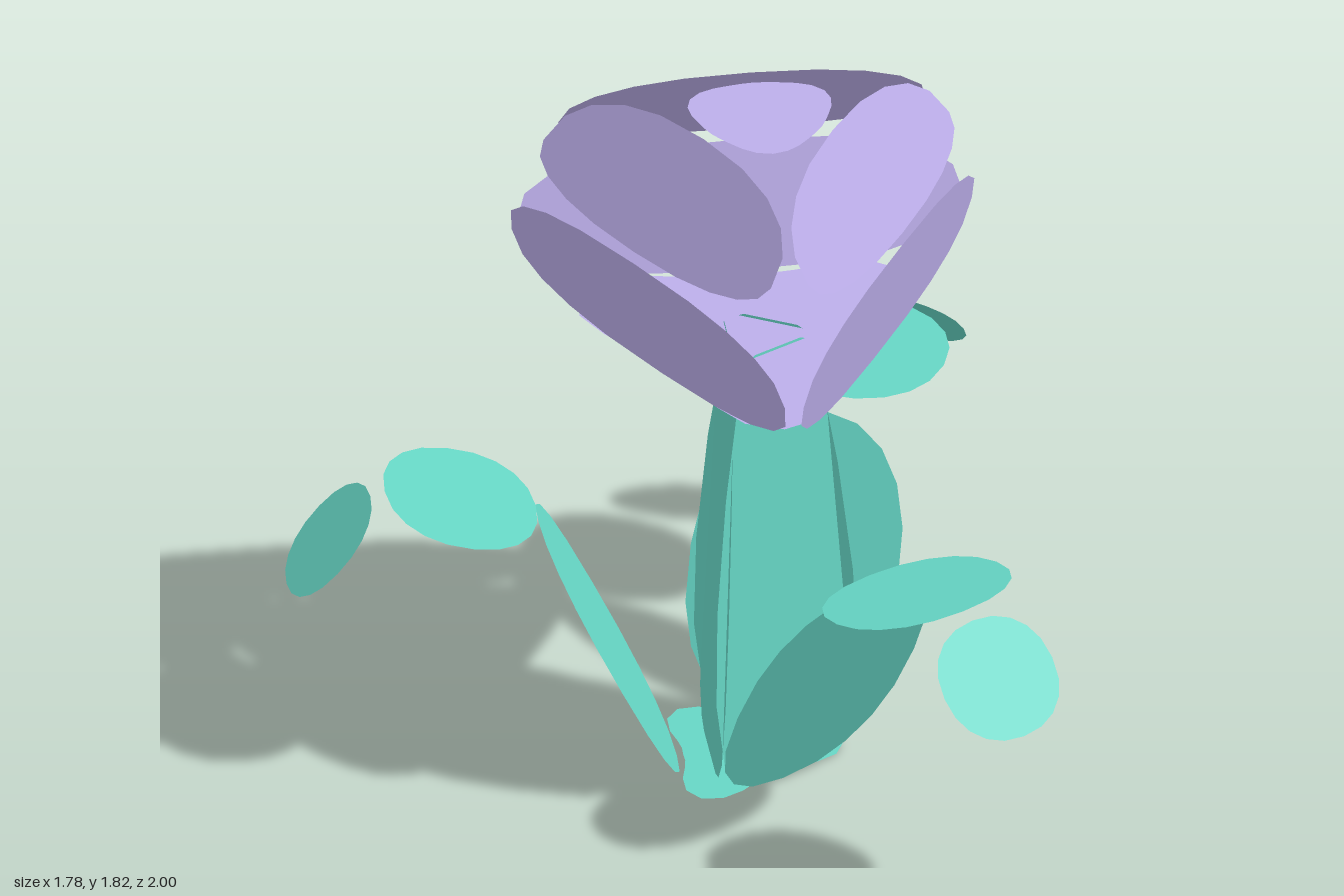
import * as THREE from 'three';

const V3 = (x, y, z) => new THREE.Vector3(x, y, z);
const teal = new THREE.MeshStandardMaterial({ color: 0x66d6c5, side: THREE.DoubleSide });
const lilac = new THREE.MeshStandardMaterial({ color: 0xbcaeea, side: THREE.DoubleSide });

// Superellipse outline in the unit square; mid is the height of its widest line
function oval(n = 2.2, mid = 0, steps = 20) {
  const pts = [];
  for (let i = 0; i < steps; i++) {
    const a = (i / steps) * Math.PI * 2;
    const c = Math.cos(a), s = Math.sin(a);
    const u = Math.sign(c) * Math.abs(c) ** (2 / n);
    const v = Math.sign(s) * Math.abs(s) ** (2 / n);
    pts.push(new THREE.Vector2(u, mid + v * (s > 0 ? 1 - mid : 1 + mid)));
  }
  return pts;
}

// Triangle with rounded corners, pointing along +v, given as radius by angle
function roundTriangle(corner, side, steps = 30) {
  const pts = [];
  for (let i = 0; i < steps; i++) {
    const a = (i / steps) * Math.PI * 2;
    const k = ((1 + Math.cos(3 * a)) / 2) ** 1.7;
    const r = side + (corner - side) * k;
    pts.push(new THREE.Vector2(-Math.sin(a) * r, Math.cos(a) * r));
  }
  return pts;
}

// Flat sheet: an outline laid into the plane spanned by u and v at a centre
function sheet(name, outline, centre, u, v, material) {
  const geo = new THREE.ShapeGeometry(new THREE.Shape(outline));
  const w = u.clone().cross(v).normalize();
  geo.applyMatrix4(new THREE.Matrix4().makeBasis(u, v, w).setPosition(centre));
  const mesh = new THREE.Mesh(geo, material);
  mesh.name = name;
  return mesh;
}

// Sheet facing away from a vertical axis, running from (r0, y0) to (r1, y1)
function radial(name, outline, axisX, angle, r0, y0, r1, y1, halfWidth, material) {
  const out = V3(Math.cos(angle), 0, Math.sin(angle));
  const across = V3(-Math.sin(angle), 0, Math.cos(angle)).multiplyScalar(halfWidth);
  const centre = out.clone().multiplyScalar((r0 + r1) / 2).add(V3(axisX, (y0 + y1) / 2, 0));
  const along = out.clone().multiplyScalar((r1 - r0) / 2).add(V3(0, (y1 - y0) / 2, 0));
  return sheet(name, outline, centre, across, along, material);
}

export function createModel() {
  const model = new THREE.Group();
  const stem = new THREE.Group();
  stem.name = 'stem';
  const leaves = new THREE.Group();
  leaves.name = 'leaves';
  const flower = new THREE.Group();
  flower.name = 'flower';
  model.add(stem, leaves, flower);

  // Tapered stem panel: [height, half width]
  const half = [[0, 0.09], [0.02, 0.15], [0.08, 0.195], [0.25, 0.215], [0.5, 0.205],
    [0.8, 0.17], [1.0, 0.135], [1.12, 0.115], [1.155, 0.1], [1.17, 0.07]];
  const stemOutline = [
    ...half.map(([y, w]) => new THREE.Vector2(w, (y / 1.17) * 2 - 1)),
    ...half.map(([y, w]) => new THREE.Vector2(-w, (y / 1.17) * 2 - 1)).reverse(),
  ];

  // Three stem panels and three drooping leaves of three segments each
  for (let i = 0; i < 3; i++) {
    const a = Math.PI / 3 + (i * Math.PI * 2) / 3;
    stem.add(radial('stemPanel', stemOutline, 0.265, a, 0.12, 0, 0.075, 1.17, 1, teal));
    const leaf = new THREE.Group();
    leaf.name = 'leaf';
    leaf.add(
      radial('leafBase', oval(2.35), 0.225, a, 0.16, 0, 0.5, 0.69, 0.27, teal),
      radial('leafMiddle', oval(), 0.225, a, 0.505, 0.73, 0.875, 0.8, 0.245, teal),
      radial('leafTip', oval(), 0.225, a, 0.91, 0.79, 1.115, 0.56, 0.165, teal),
    );
    leaves.add(leaf);
  }
  stem.add(sheet('stemBase', roundTriangle(0.25, 0.14), V3(0.22, 0.004, 0),
    V3(0, 0, 1), V3(1, 0, 0), teal));

  // Two tiers of petals: lower flares outward, upper closes inward
  const lower = oval(2.55);
  const upper = oval(2.3, -0.33);
  const cx = 0.267;
  flower.add(
    sheet('lowerBackPetal', lower, V3(cx, 1.323, -0.36), V3(0.545, 0, 0), V3(0, 0.157, -0.045), lilac),
    sheet('upperBackPetal', upper, V3(cx, 1.665, -0.275), V3(0.45, 0, 0), V3(0, 0.152, 0.125), lilac),
  );
  for (const s of [-1, 1]) {
    flower.add(
      sheet('lowerSidePetal', lower, V3(cx + s * 0.293, 1.323, 0.15),
        V3(-s * 0.27, 0, 0.472), V3(s * 0.035, 0.157, 0), lilac),
      sheet('upperSidePetal', upper, V3(cx + s * 0.243, 1.665, 0.15),
        V3(-s * 0.225, 0, 0.39), V3(-s * 0.085, 0.152, 0), lilac),
    );
  }

  // Flower floor and the small cap on top
  flower.add(
    sheet('flowerFloor', roundTriangle(0.47, 0.28), V3(cx, 1.163, -0.02), V3(1, 0, 0), V3(0, 0, 1), lilac),
    sheet('flowerCap', roundTriangle(0.19, 0.155), V3(cx, 1.815, 0.05), V3(1, 0, 0), V3(0, 0, 1), lilac),
  );
  return model;
}
